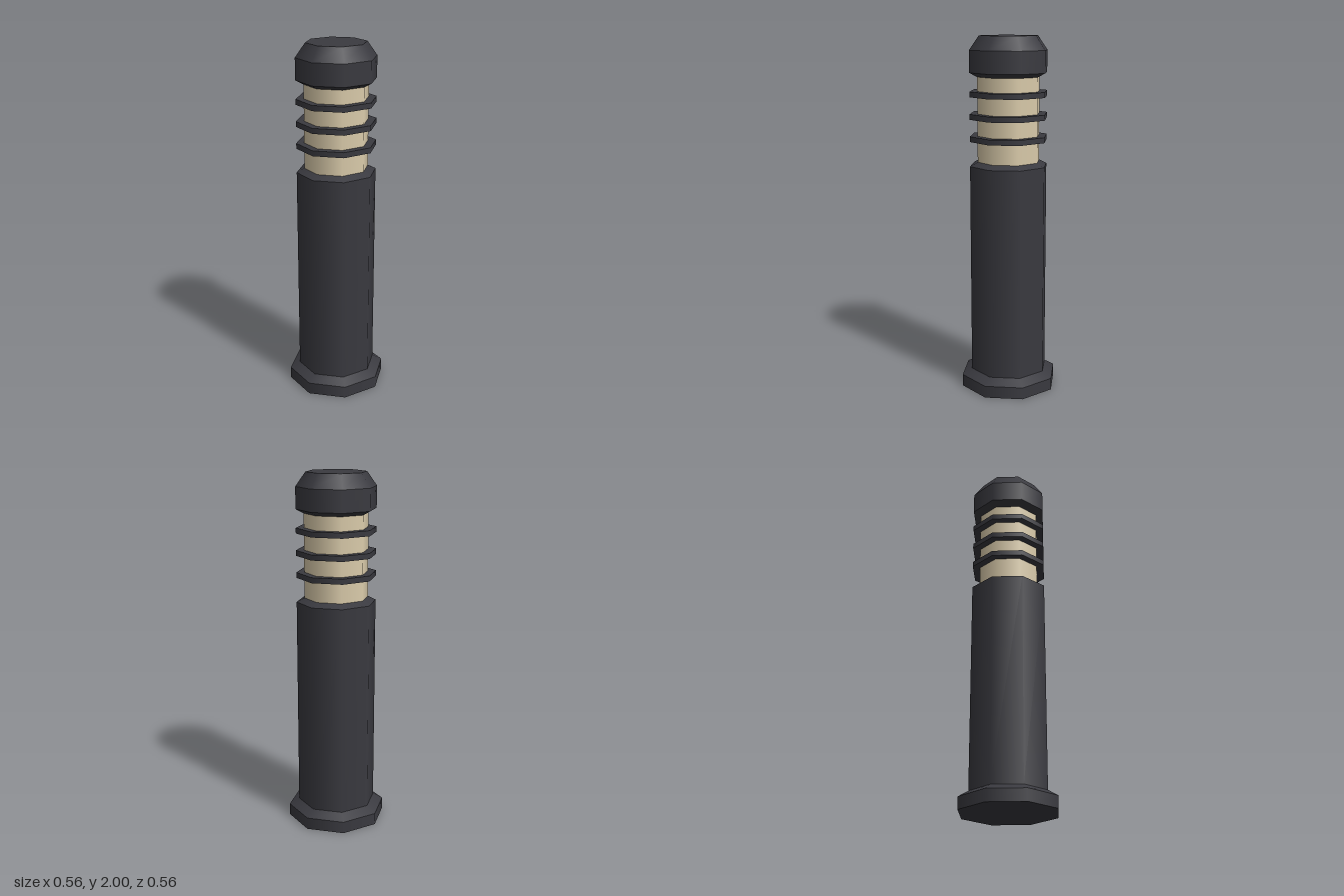
import * as THREE from 'three';

const SIDES = 8;

export function createModel() {
  const darkMetal = new THREE.MeshStandardMaterial({ color: 0x3a3a40 });
  darkMetal.name = 'dark metal';
  const warmGlass = new THREE.MeshStandardMaterial({ color: 0xdccdac });
  warmGlass.name = 'warm glass';

  // Stacks octagonal sections [radius, height], smooth around and sharp between sections
  function stack(name, sections, material) {
    const part = new THREE.Group();
    part.name = name;
    const last = sections.length - 1;
    for (let i = 0; i < last; i++) {
      const [r0, y0] = sections[i];
      const [r1, y1] = sections[i + 1];
      const geometry = new THREE.CylinderGeometry(r1, r0, y1 - y0, SIDES, 1, true);
      geometry.translate(0, (y0 + y1) / 2, 0);
      const mesh = new THREE.Mesh(geometry, material);
      mesh.name = name + 'Section';
      part.add(mesh);
    }
    // Flat ends, corners matching the sections
    for (const [[r, y], up] of [[sections[0], false], [sections[last], true]]) {
      const end = new THREE.CircleGeometry(r, SIDES);
      end.rotateX(up ? -Math.PI / 2 : Math.PI / 2);
      end.translate(0, y, 0);
      const mesh = new THREE.Mesh(end, material);
      mesh.name = name + (up ? 'Top' : 'Bottom');
      part.add(mesh);
    }
    return part;
  }

  const model = new THREE.Group();
  model.name = 'bollardLight';

  // Foot flange, post and cap
  model.add(stack('base', [[0.278, 0], [0.278, 0.068], [0.222, 0.102]], darkMetal));
  model.add(stack('post', [[0.222, 0.102], [0.222, 1.292], [0.178, 1.314]], darkMetal));
  model.add(stack('cap', [[0.178, 1.78], [0.222, 1.803], [0.222, 1.923], [0.167, 2]], darkMetal));

  // Lamp with louvre rings
  model.add(stack('lamp', [[0.178, 1.314], [0.178, 1.78]], warmGlass));
  for (const y of [1.443, 1.565, 1.687]) {
    model.add(stack('louvreRing', [[0.222, y - 0.015], [0.222, y + 0.015]], darkMetal));
  }
  return model;
}
